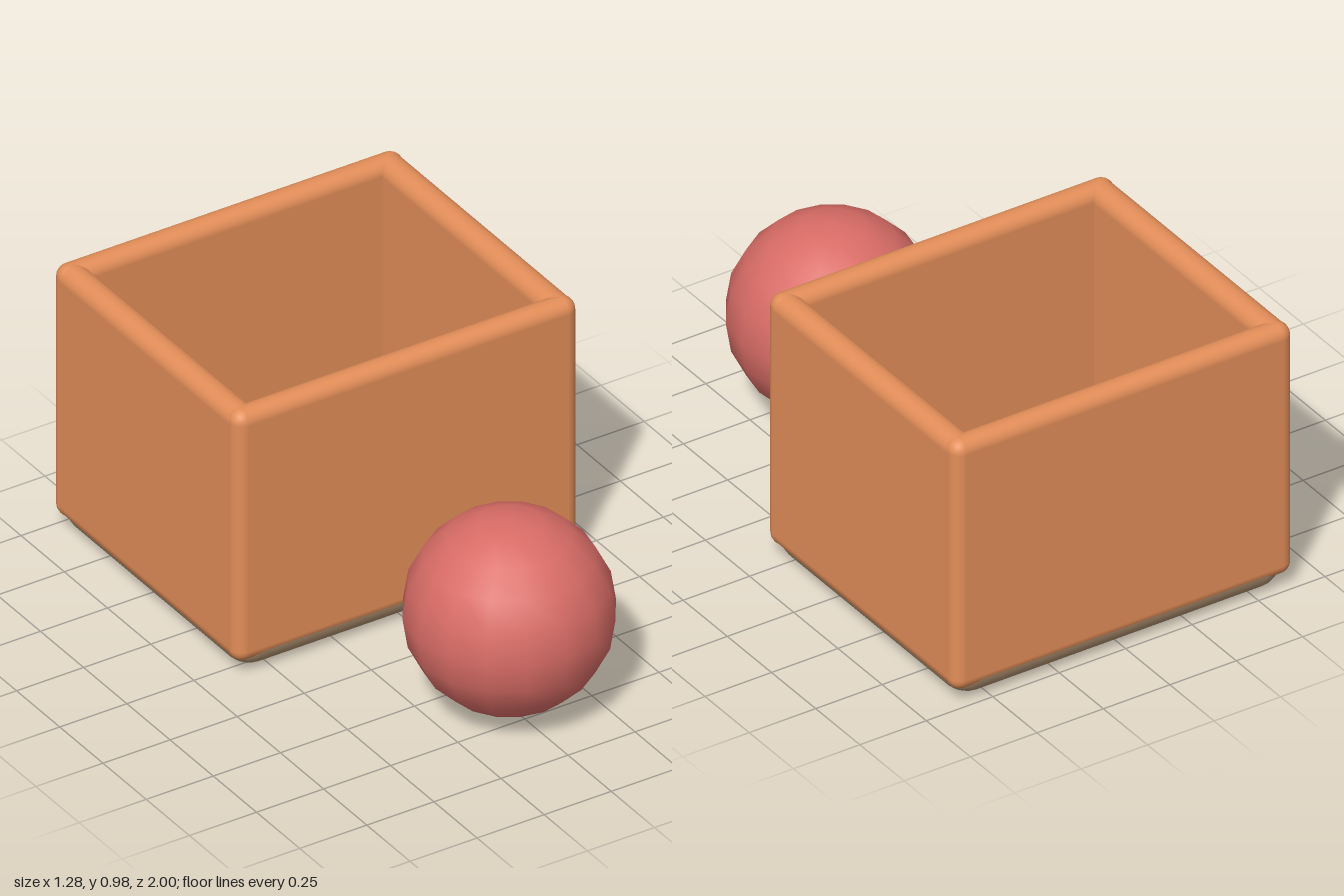
import * as THREE from 'three';
import { RoundedBoxGeometry } from 'three/addons/geometries/RoundedBoxGeometry.js';

export function createModel() {
  const model = new THREE.Group();
  const orange = new THREE.MeshStandardMaterial({ color: 0xe28d58 });
  const tan = new THREE.MeshStandardMaterial({ color: 0xb09070 });
  const red = new THREE.MeshStandardMaterial({ color: 0xd96c66 });

  const add = (parent, name, geometry, material, x, y, z) => {
    const mesh = new THREE.Mesh(geometry, material);
    mesh.name = name;
    mesh.position.set(x, y, z);
    parent.add(mesh);
  };

  // Open box, centred behind the ball
  const box = new THREE.Group();
  box.name = 'openBox';
  box.position.z = -0.46;
  model.add(box);

  const width = 1.28, depth = 1.08, bottom = 0.05, top = 0.98;
  const wallHeight = top - bottom, wallY = (top + bottom) / 2;
  const sideThickness = 0.1, endThickness = 0.09;

  // Floor slab with rounded edges, slightly narrower than the walls
  add(box, 'floor', new RoundedBoxGeometry(1.26, 0.2, depth - 0.002, 3, 0.095), tan, 0, 0.1, 0);

  // Side, front and back walls overlap at the corners
  for (const s of [1, -1]) {
    add(box, s > 0 ? 'leftWall' : 'rightWall',
      new RoundedBoxGeometry(sideThickness, wallHeight, depth, 3, 0.049), orange,
      s * (width - sideThickness) / 2, wallY, 0);
    add(box, s > 0 ? 'frontWall' : 'backWall',
      new RoundedBoxGeometry(width, wallHeight, endThickness, 3, 0.0445), orange,
      0, wallY, s * (depth - endThickness) / 2);
  }

  // Ball in front of the box
  add(model, 'ball', new THREE.SphereGeometry(0.34, 16, 10), red, 0, 0.36, 0.66);

  return model;
}
